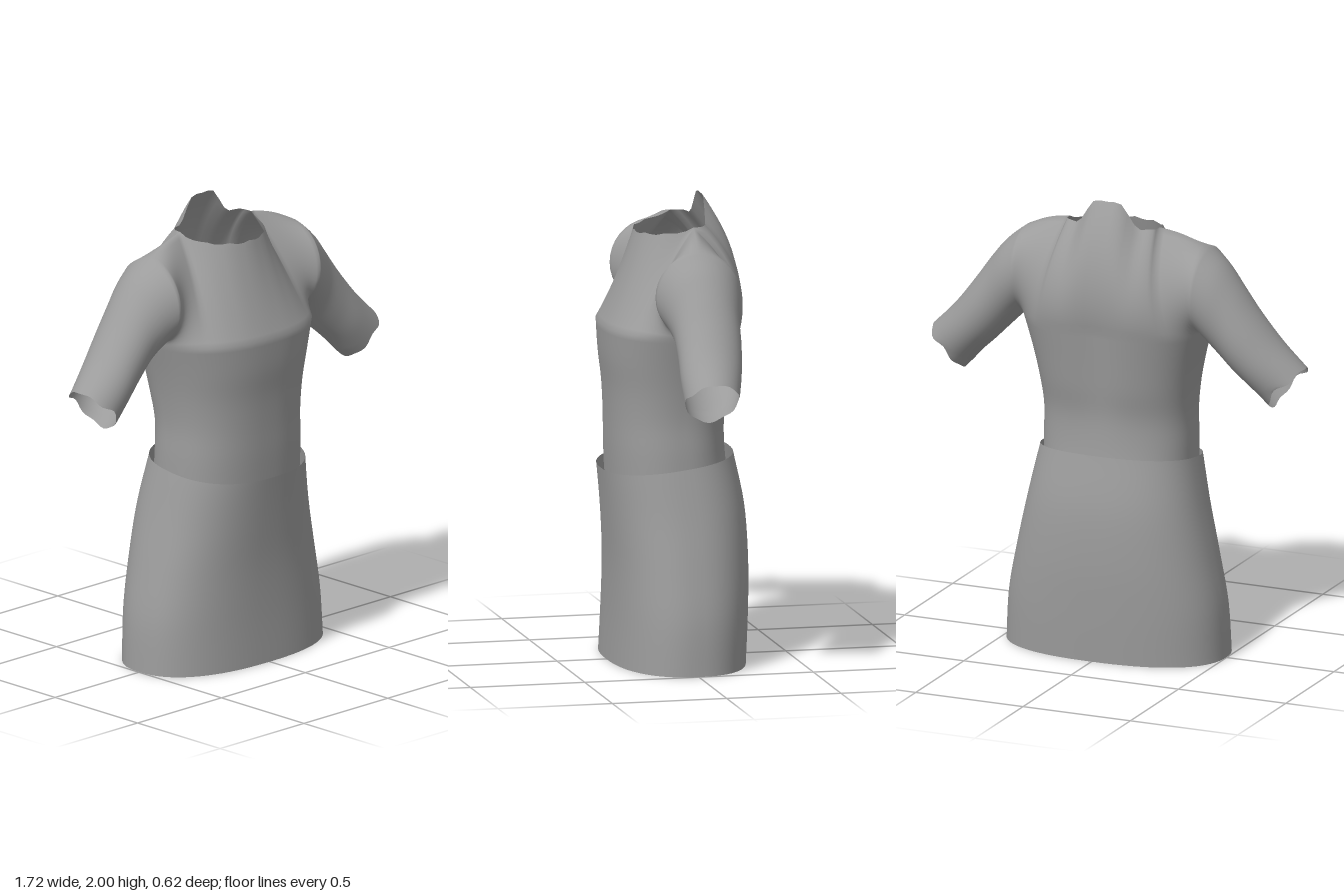
import * as THREE from 'three';
import { mergeGeometries, mergeVertices } from 'three/addons/utils/BufferGeometryUtils.js';

const COLS = 40, ROWS = 18;
const lerp = THREE.MathUtils.lerp;

// Smooth interpolation through rows of numbers, t from 0 to 1
function spline(rows, t) {
  const f = t * (rows.length - 1), i = Math.min(Math.floor(f), rows.length - 2), k = f - i;
  const row = (j) => rows[THREE.MathUtils.clamp(j, 0, rows.length - 1)];
  const [a, b, c, d] = [row(i - 1), row(i), row(i + 1), row(i + 2)];
  return b.map((p, n) => {
    const m0 = (c[n] - a[n]) / 2, m1 = (d[n] - p) / 2;
    return p + k * m0 + k * k * (3 * (c[n] - p) - 2 * m0 - m1) + k * k * k * (2 * (p - c[n]) + m0 + m1);
  });
}

// Grid surface from fn(u, v) -> [x, y, z]
function grid(nu, nv, fn, flip = false) {
  const pos = [], idx = [];
  for (let j = 0; j <= nv; j++) for (let i = 0; i <= nu; i++) pos.push(...fn(i / nu, j / nv));
  for (let j = 0; j < nv; j++) for (let i = 0; i < nu; i++) {
    const a = j * (nu + 1) + i, b = a + 1, c = a + nu + 1, d = c + 1;
    idx.push(...(flip ? [a, d, b, a, c, d] : [a, b, d, a, d, c]));
  }
  const g = new THREE.BufferGeometry();
  g.setAttribute('position', new THREE.Float32BufferAttribute(pos, 3));
  g.setIndex(idx);
  return g;
}

function weld(parts) {
  const g = mergeVertices(mergeGeometries(parts), 1e-3);
  g.computeVertexNormals();
  return g;
}

// Front (side = 1) or back (side = -1) half of a rounded body section, s from -1 to 1
function halfRing([y, w, zf, zb, zc, groove], s, side) {
  const a = s * Math.PI / 2, e = 0.84;
  const x = w * Math.sign(s) * Math.abs(Math.sin(a)) ** e;
  const c = Math.max(0, Math.cos(a)) ** e;
  const z = zc + c * ((side > 0 ? zf : zb) - zc);
  return [x, y, side > 0 ? z : z + groove * Math.exp(-((x / 0.09) ** 2))];
}

// Sections: height, half width, front z, back z, side z, spine groove
const torso = [
  [0.80, 0.335, 0.275, -0.225, 0.02, 0], [0.93, 0.335, 0.28, -0.21, 0.02, 0],
  [1.06, 0.333, 0.282, -0.21, 0.015, 0.005], [1.19, 0.348, 0.288, -0.235, 0.005, 0.015],
  [1.32, 0.375, 0.302, -0.255, -0.005, 0.02], [1.45, 0.41, 0.308, -0.275, -0.015, 0.025],
];
const skirt = [
  [0, 0.497, 0.285, -0.29, 0, 0], [0.22, 0.483, 0.275, -0.302, 0, 0],
  [0.44, 0.44, 0.275, -0.308, 0, 0], [0.66, 0.39, 0.29, -0.295, 0, 0],
  [0.87, 0.345, 0.31, -0.25, 0.02, 0],
];
// Sleeve sections: top x, y, underside x, y, front z, back z
const sleeve = [
  [0.42, 1.82, 0.41, 1.45, 0.17, -0.20], [0.50, 1.755, 0.45, 1.41, 0.14, -0.185],
  [0.57, 1.67, 0.50, 1.36, 0.12, -0.17], [0.65, 1.56, 0.57, 1.29, 0.118, -0.16],
  [0.75, 1.435, 0.635, 1.23, 0.125, -0.14], [0.86, 1.325, 0.695, 1.165, 0.125, -0.11],
];

// Sleeve loop point; angle runs from the top towards the front
function sleevePoint(t, angle) {
  const [tx, ty, bx, by, zf, zb] = spline(sleeve, t);
  const k = (1 + Math.cos(angle)) / 2;
  const fray = t > 0.99 ? 0.008 * Math.sin(angle * 5) * Math.sin(angle) - 0.025 * (1 - k) ** 8 : 0;
  return [lerp(bx, tx, k) - fray, lerp(by, ty, k) + fray, (zf + zb) / 2 + Math.sin(angle) * (zf - zb) / 2];
}

// Shoulder seam and neckline
function topEdge(s, side) {
  const a = Math.abs(s), sign = Math.sign(s), cut = 0.5;
  if (a >= cut) {
    const k = (a - cut) / (1 - cut);
    return [sign * lerp(0.21, 0.42, k), lerp(1.89, 1.82, k) + 0.012 * Math.sin(k * Math.PI), lerp(-0.045, -0.015, k)];
  }
  const q = a / cut * Math.PI / 2, c = Math.cos(q);
  const x = sign * 0.21 * Math.sin(q);
  if (side > 0) return [x, 1.89 - 0.04 * Math.sqrt(c) + 0.005 * c * Math.cos(s * 40), -0.045 + 0.208 * c];
  const collar = 0.11 * (1 - THREE.MathUtils.smoothstep(Math.abs(x), 0.045, 0.15));
  return [x, 1.89 + collar + 0.006 * c * Math.sin(s * 50) ** 2, -0.045 - 0.08 * c ** 0.5];
}

// Chest or upper back panel between the armholes
function panelPoint(s, t, side) {
  const lo = halfRing(torso[torso.length - 1], s, side), hi = topEdge(s, side);
  const arm = (k) => {
    const p = sleevePoint(0, side * Math.PI * (1 - k));
    return [p[0] * Math.sign(s), p[1], p[2]];
  };
  const e = arm(t), e0 = arm(0), e1 = arm(1), blend = Math.abs(s) ** 3;
  const p = lo.map((v, n) => lerp(v, hi[n], t) + blend * (e[n] - lerp(e0[n], e1[n], t)));
  p[2] += (side > 0 ? -0.01 : -0.065) * 4 * t * (1 - t) * (1 - s * s);
  return p;
}

export function createModel() {
  const model = new THREE.Group();
  const cloth = new THREE.MeshStandardMaterial({ color: 0x9c9c9c, side: THREE.DoubleSide });
  cloth.name = 'grey cloth';
  const add = (name, geometry) => {
    const mesh = new THREE.Mesh(geometry, cloth);
    mesh.name = name;
    model.add(mesh);
  };

  // Shirt: lower torso, chest and back panels, two sleeves, welded into one surface
  const shirt = [];
  for (const side of [1, -1]) {
    shirt.push(grid(COLS, 20, (u, v) => halfRing(spline(torso, v), u * 2 - 1, side), side < 0));
    shirt.push(grid(COLS, ROWS, (u, v) => panelPoint(u * 2 - 1, v, side), side < 0));
    shirt.push(grid(ROWS * 2, 24, (u, v) => {
      const [x, y, z] = sleevePoint(v, u * Math.PI * 2);
      return [side * x, y, z];
    }, side < 0));
  }
  add('shirt', weld(shirt));

  // Skirt: open tube with a waist that rises towards the back
  add('skirt', weld([1, -1].map((side) => grid(COLS, 20, (u, v) => {
    const [x, y, z] = halfRing(spline(skirt, v), u * 2 - 1, side);
    return [x, y - 0.13 * z * v ** 3, z];
  }, side < 0))));

  return model;
}
